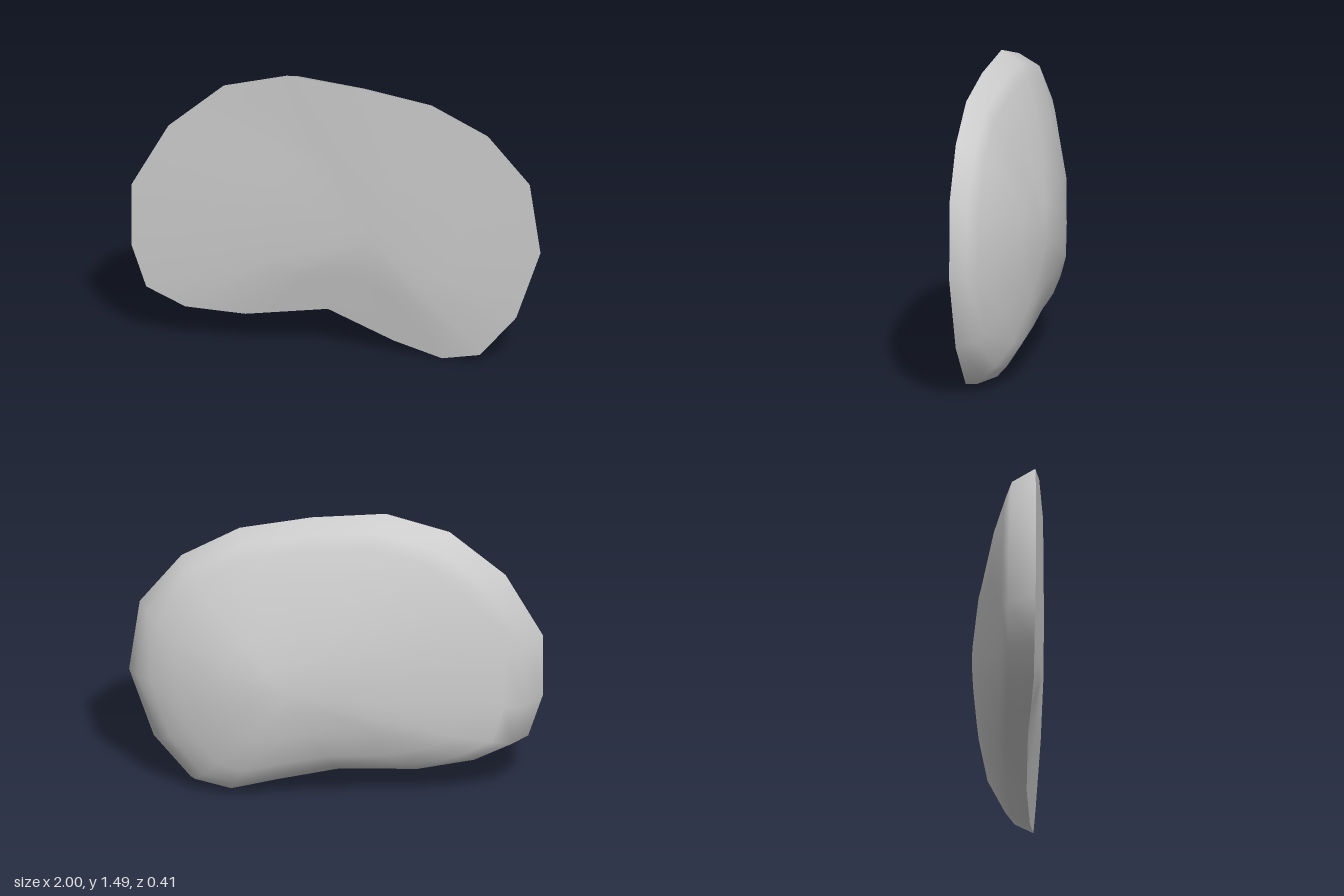
import * as THREE from 'three';

// Rim points, clockwise from the top as seen from the front:
// x, y, z, and how far the back bulges below the rim there
const RIM = [
  [-0.24, 1.49, 0.152, 0], [0.12, 1.455, 0.138, 0], [0.47, 1.39, 0.11, 0], [0.75, 1.24, 0.075, 0],
  [0.95, 0.99, 0.045, 0], [1, 0.62, 0.03, 0], [0.88, 0.26, 0.035, 0], [0.70, 0.04, 0.04, 0],
  [0.51, 0, 0.04, 0], [0.27, 0.07, 0.045, 0], [-0.05, 0.22, 0.08, 0.08], [-0.45, 0.17, 0.13, 0.03],
  [-0.74, 0.195, 0.17, 0], [-0.93, 0.29, 0.19, 0], [-1, 0.51, 0.202, 0], [-1, 0.84, 0.205, 0],
  [-0.82, 1.17, 0.188, 0], [-0.55, 1.405, 0.16, 0],
];
const CX = 0.19, CY = 0.65;

// Ring scale, then depth fraction towards the top, bottom, -x and +x sides
const DOME = [
  [1, 0, 0, 0, 0],
  [0.94, 0.30, 0.40, 0.34, 0.30],
  [0.86, 0.40, 0.58, 0.44, 0.47],
  [0.70, 0.58, 0.82, 0.62, 0.71],
  [0.42, 0.80, 0.94, 0.85, 0.94],
  [0.20, 0.92, 0.985, 0.96, 0.985],
];
const FACE = [[1, 0, 0, 0, 0], [0.5, 0.55, 0.55, 0.55, 0.55]];

// Smooth surface of shrinking rings from the rim to a centre point
function ringSurface(rings, centreZ, facesBack) {
  const n = RIM.length, pos = [], idx = [];
  rings.forEach(([s, top, bottom, left, right], r) => {
    RIM.forEach(([x, y, z, drop]) => {
      const dx = x - CX;
      const dy = y - CY - (facesBack && r > 0 ? drop : 0);
      const vertical = (dy * dy) / (dx * dx + dy * dy);
      const f = THREE.MathUtils.lerp(dx > 0 ? right : left, dy > 0 ? top : bottom, vertical);
      pos.push(CX + dx * s, CY + dy * s, THREE.MathUtils.lerp(z, centreZ, f));
    });
  });
  pos.push(CX, CY, centreZ);
  const centre = rings.length * n;
  const tri = (a, b, c) => (facesBack ? idx.push(a, b, c) : idx.push(a, c, b));
  for (let r = 0; r < rings.length; r++) {
    for (let i = 0; i < n; i++) {
      const j = (i + 1) % n, a = r * n + i, b = r * n + j;
      if (r === rings.length - 1) tri(a, b, centre);
      else {
        tri(a, b, b + n);
        tri(a, b + n, a + n);
      }
    }
  }
  const geo = new THREE.BufferGeometry();
  geo.setAttribute('position', new THREE.Float32BufferAttribute(pos, 3));
  geo.setIndex(idx);
  geo.computeVertexNormals();
  return geo;
}

export function createModel() {
  const group = new THREE.Group();
  group.name = 'kidneyShapedShell';
  const material = new THREE.MeshStandardMaterial({ color: 0xcccccc });

  // Nearly flat front, sharing the rim with the dome but keeping a sharp edge
  const face = new THREE.Mesh(ringSurface(FACE, 0.135, false), material);
  face.name = 'frontFace';

  // Rounded back, bulging below the notch
  const dome = new THREE.Mesh(ringSurface(DOME, -0.208, true), material);
  dome.name = 'backDome';

  group.add(face, dome);
  return group;
}
